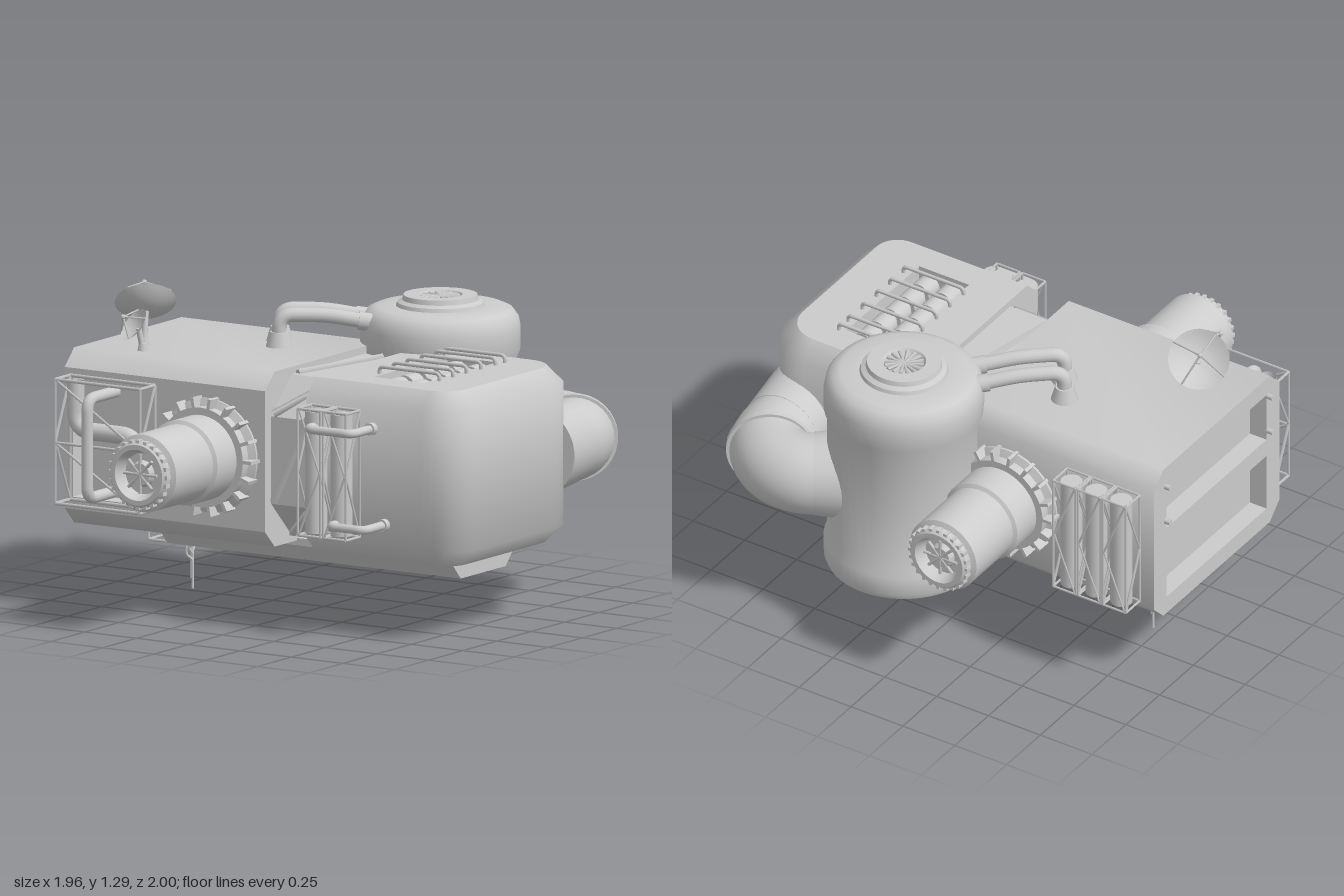
import * as THREE from 'three';
import { toCreasedNormals } from 'three/addons/utils/BufferGeometryUtils.js';

const V = (x, y, z) => new THREE.Vector3(x, y, z);
const mat = new THREE.MeshStandardMaterial({ color: 0xcccccc, side: THREE.DoubleSide });

function add(parent, name, geo, pos) {
  const m = new THREE.Mesh(geo, mat);
  m.name = name;
  if (pos) m.position.copy(pos);
  parent.add(m);
  return m;
}
function group(parent, name) {
  const g = new THREE.Group();
  g.name = name;
  parent.add(g);
  return g;
}
// cylinder or cone from a to b
function rod(parent, name, a, b, ra, rb = ra, sides = 8) {
  const m = add(parent, name, new THREE.CylinderGeometry(rb, ra, a.distanceTo(b), sides), a.clone().lerp(b, 0.5));
  m.quaternion.setFromUnitVectors(V(0, 1, 0), b.clone().sub(a).normalize());
  return m;
}
// pipe through points with rounded bends
function pipe(parent, name, pts, r, bend = 0.06, sides = 14) {
  const path = new THREE.CurvePath();
  let last = pts[0];
  for (let i = 1; i < pts.length - 1; i++) {
    const p = pts[i];
    const a = p.clone().add(pts[i - 1].clone().sub(p).setLength(bend));
    const b = p.clone().add(pts[i + 1].clone().sub(p).setLength(bend));
    path.add(new THREE.LineCurve3(last, a));
    path.add(new THREE.QuadraticBezierCurve3(a, p, b));
    last = b;
  }
  path.add(new THREE.LineCurve3(last, pts[pts.length - 1]));
  return add(parent, name, new THREE.TubeGeometry(path, 50, r, sides));
}
// skin between rings of points
function skin(rings, crease) {
  const pos = [];
  for (let k = 0; k < rings.length - 1; k++) for (let i = 0; i < rings[k].length - 1; i++) {
    const [a, b, c, d] = [rings[k][i], rings[k][i + 1], rings[k + 1][i + 1], rings[k + 1][i]];
    for (const p of [a, b, c, a, c, d]) pos.push(p.x, p.y, p.z);
  }
  const g = new THREE.BufferGeometry();
  g.setAttribute('position', new THREE.Float32BufferAttribute(pos, 3));
  return toCreasedNormals(g, crease);
}
// flat panel with rectangular holes [x0, x1, y0, y1]
function panel(pts, holes = []) {
  const s = new THREE.Shape(pts.map(p => new THREE.Vector2(p[0], p[1])));
  for (const [x0, x1, y0, y1] of holes)
    s.holes.push(new THREE.Path([[x0, y0], [x0, y1], [x1, y1], [x1, y0]].map(p => new THREE.Vector2(...p))));
  return new THREE.ShapeGeometry(s);
}
// box without one face (0..5 = +x -x +y -y +z -z)
function pocket(w, h, d, open) {
  const g = new THREE.BoxGeometry(w, h, d);
  g.setIndex(Array.from(g.index.array).filter((_, i) => Math.floor(i / 6) !== open));
  g.clearGroups();
  return g;
}
const lathe = (pts, seg = 48) =>
  toCreasedNormals(new THREE.LatheGeometry(pts.map(p => new THREE.Vector2(...p)), seg), 0.6);
// section of the hull in z, y
const octagon = (w, y0, y1, c) => [[w, y0 + c], [w - c, y0], [c - w, y0], [-w, y0 + c], [-w, y1 - c], [c - w, y1], [w - c, y1], [w, y1 - c]];

// wire cage with diagonals
function cage(parent, x0, x1, y0, y1, z0, z1, r) {
  const g = group(parent, 'cage');
  for (const z of [z0, z1]) {
    for (const y of [y0, y1]) rod(g, 'cageBar', V(x0, y, z), V(x1, y, z), r, r, 4);
    for (const x of [x0, x1]) rod(g, 'cageBar', V(x, y0, z), V(x, y1, z), r, r, 4);
  }
  for (const x of [x0, x1]) {
    for (const y of [y0, y1]) rod(g, 'cageBar', V(x, y, z0), V(x, y, z1), r, r, 4);
    rod(g, 'cageBrace', V(x, y0, z0), V(x, (y0 + y1) / 2, z1), r, r, 4);
    rod(g, 'cageBrace', V(x, (y0 + y1) / 2, z1), V(x, y1, z0), r, r, 4);
  }
  return g;
}
// caged pressure bottle standing against the hull
function radiator(parent, x, z) {
  const g = group(parent, 'radiatorUnit');
  cage(g, x - 0.055, x + 0.055, 0.41, 0.93, z - 0.052, z + 0.052, 0.006);
  rod(g, 'radiatorCore', V(x, 0.42, z), V(x, 0.92, z), 0.045, 0.045, 20);
  const f = z + 0.052 * Math.sign(z);
  rod(g, 'frontBrace', V(x - 0.05, 0.41, f), V(x + 0.05, 0.67, f), 0.005, 0.005, 4);
  rod(g, 'frontBrace', V(x + 0.05, 0.67, f), V(x - 0.05, 0.93, f), 0.005, 0.005, 4);
}
// dish with tripod feed on a mast
function dish(parent, c, n, r, foot) {
  const g = group(parent, 'antennaDish'), h = group(g, 'dishHead'), d = r * 0.38;
  const pts = [];
  for (let i = 0; i <= 10; i++) pts.push([r * i / 10, d * (i / 10) ** 2 - d / 2]);
  add(h, 'reflector', lathe(pts, 32));
  for (let i = 0; i < 4; i++) {
    const a = i * Math.PI / 2;
    rod(h, 'feedLeg', V(r * Math.cos(a), d / 2, r * Math.sin(a)), V(0, r * 0.95, 0), 0.004, 0.004, 5);
  }
  add(h, 'feed', new THREE.SphereGeometry(0.011, 8, 6), V(0, r * 0.95, 0));
  h.position.copy(c);
  h.quaternion.setFromUnitVectors(V(0, 1, 0), n.normalize());
  rod(g, 'dishMast', foot, c.clone().addScaledVector(n, -d / 2), 0.012);
  rod(g, 'mastBase', foot, foot.clone().setY(1.06), 0.022, 0.016, 12);
}

export function createModel() {
  const root = new THREE.Group();
  root.name = 'stationModule';

  // left hull, open windows on its end and front
  const oct = octagon(0.465, 0.31, 1.03, 0.07), left = group(root, 'leftHull');
  add(left, 'hullShell', skin([-0.95, 0.02].map(x => oct.map(p => V(x, p[1], p[0]))), 0.9));
  add(left, 'frontPanel', panel([[-0.95, 0.38], [0.02, 0.38], [0.02, 0.96], [-0.95, 0.96]], [[-0.91, -0.52, 0.43, 0.92]]), V(0, 0, 0.465));
  add(left, 'frontPocket', pocket(0.39, 0.49, 0.08, 4), V(-0.715, 0.675, 0.425));
  const wins = [[-0.37, 0.37, 0.73, 0.95], [-0.37, 0.37, 0.39, 0.65]];
  add(left, 'endPanel', panel(oct, wins).rotateY(-Math.PI / 2), V(-0.95, 0, 0));
  for (const [z0, z1, y0, y1] of wins) add(left, 'endPocket', pocket(0.08, y1 - y0, z1 - z0, 1), V(-0.91, (y0 + y1) / 2, 0));
  add(left, 'innerWall', panel(oct).rotateY(Math.PI / 2), V(0.02, 0, 0));
  for (const y of [0.94, 0.77]) for (const z of [-0.38, 0.38]) rod(left, 'bolt', V(-0.975, y, z), V(-0.94, y, z), 0.012);

  // recessed neck with braces
  const neck = octagon(0.42, 0.34, 1.0, 0.15);
  neck.push(neck[0]);
  add(root, 'neck', skin([0.02, 0.22].map(x => neck.map(p => V(x, p[1], p[0]))), 0.3));
  for (const [a, b] of [[V(0.03, 0.5, 0.42), V(0.21, 0.88, 0.42)], [V(0.03, 1, 0.24), V(0.13, 1, -0.25)],
    [V(0.03, 0.86, 0.42), V(0.21, 0.98, 0.28)], [V(0.03, 0.35, 0.28), V(0.21, 0.48, 0.42)]])
    rod(root, 'neckBrace', a, b, 0.018, 0.018, 4);

  // right hull with rounded outer corners
  const right = group(root, 'rightHull');
  const outline = d => {
    const pts = [[0.22, 0.465 - d]];
    for (const [r, s] of [[0.17, 1], [0.21, -1]]) for (let i = 0; i <= 10; i++) {
      const a = (s > 0 ? 1 - i / 10 : -i / 10) * Math.PI / 2;
      pts.push([0.95 - r + (r - d) * Math.cos(a), s * (0.465 - r) + (r - d) * Math.sin(a)]);
    }
    return [...pts, [0.22, d - 0.465]];
  };
  const levels = [[0.31, 0.07], [0.38, 0], [0.96, 0], [1.03, 0.07]];
  add(right, 'hullShell', skin(levels.map(([y, d]) => outline(d).map(p => V(p[0], y, p[1]))), 0.9));
  const cap = outline(0.07).map(p => [p[0], -p[1]]);
  add(right, 'roof', panel(cap, [[0.42, 0.66, -0.27, 0.27]]).rotateX(-Math.PI / 2), V(0, 1.03, 0));
  add(right, 'floor', panel(cap.map(p => [p[0], -p[1]])).rotateX(Math.PI / 2), V(0, 0.31, 0));
  add(right, 'innerWall', panel(oct).rotateY(-Math.PI / 2), V(0.22, 0, 0));
  add(right, 'roofPocket', pocket(0.24, 0.1, 0.54, 2), V(0.54, 0.98, 0));
  for (const x of [0.485, 0.595]) for (let i = 0; i < 5; i++) {
    const z = -0.208 + i * 0.104;
    rod(right, 'canister', V(x, 0.975, z - 0.04), V(x, 0.975, z + 0.04), 0.048, 0.048, 16);
    rod(right, 'canisterNeck', V(x, 0.975, z - 0.052), V(x, 0.975, z + 0.052), 0.03, 0.03, 12);
  }
  for (const z of [-0.28, -0.21, -0.105, 0, 0.1, 0.2])
    pipe(right, 'roofHoop', [V(0.4, 1.02, z), V(0.4, 1.06, z), V(0.69, 1.06, z), V(0.69, 1.02, z)], 0.008, 0.02, 6);

  // docking tubes on both faces
  for (const s of [1, -1]) {
    const g = group(root, 'dockingTube');
    add(g, 'tubeBody', lathe([[0.235, 0.45], [0.235, 0.475], [0.205, 0.49], [0.205, 0.53], [0.175, 0.53], [0.175, 0.67], [0.16, 0.68],
      [0.16, 0.95], [0.138, 0.96], [0.138, 0.985], [0.125, 1], [0.105, 1], [0.085, 0.95], [0.055, 0.95], [0.045, 0.975], [0, 0.975]]));
    for (let i = 0; i < 18; i++) {
      const f = group(g, 'flangeTooth');
      add(f, 'tooth', new THREE.BoxGeometry(0.05, 0.07, 0.014), V(0.22, 0.495, 0));
      f.rotation.y = i * Math.PI / 9;
    }
    for (let i = 0; i < 24; i++) {
      const a = i * Math.PI / 12;
      add(g, 'latch', new THREE.BoxGeometry(0.016, 0.03, 0.016), V(0.135 * Math.cos(a), 0.978, 0.135 * Math.sin(a)));
    }
    for (let i = 0; i < 4; i++) {
      const a = i * Math.PI / 4, c = 0.08 * Math.cos(a), d = 0.08 * Math.sin(a);
      rod(g, 'hatchSpoke', V(c, 0.972, d), V(-c, 0.972, -d), 0.007, 0.007, 5);
    }
    g.position.set(-0.25, 0.67, 0);
    g.rotation.x = s * Math.PI / 2;
  }

  // upright tank with fan cap
  const tank = group(root, 'tank');
  add(tank, 'tankBody', lathe([[0, 0.25], [0.29, 0.25], [0.315, 0.265], [0.325, 0.29], [0.325, 0.37], [0.312, 0.4], [0.312, 0.97], [0.325, 1.0],
    [0.325, 1.09], [0.317, 1.13], [0.295, 1.16], [0.26, 1.175], [0.18, 1.175], [0.175, 1.19], [0.155, 1.2], [0.15, 1.22], [0.09, 1.22], [0.08, 1.205], [0, 1.205]]));
  for (let i = 0; i < 16; i++) {
    const a = i * Math.PI / 8;
    rod(tank, 'fanBlade', V(0, 1.21, 0), V(0.08 * Math.cos(a), 1.21, 0.08 * Math.sin(a)), 0.004, 0.01, 5);
  }
  tank.position.set(0.2, 0, -0.55);

  // elbow duct from tank to right hull
  const duct = group(root, 'elbowDuct'), y = 0.665, arc = [];
  for (let i = 0; i <= 8; i++) {
    const a = (-122 + i * 16) * Math.PI / 180;
    arc.push(V(0.6 + 0.178 * Math.cos(a), y, -0.6 + 0.178 * Math.sin(a)));
  }
  const path = new THREE.CatmullRomCurve3([V(0.3, y, -0.62), ...arc, V(0.8, y, -0.33)]);
  add(duct, 'elbow', new THREE.TubeGeometry(path, 48, 0.166, 32));
  rod(duct, 'tankFlare', V(0.3, y, -0.62), V(0.505, y, -0.75), 0.2, 0.168, 32);
  rod(duct, 'hullFlare', V(0.8, y, -0.33), V(0.78, y, -0.57), 0.185, 0.168, 32);
  rod(duct, 'collar', V(0.742, y, -0.711), V(0.758, y, -0.685), 0.178, 0.178, 32);

  // roof pipes into the tank
  for (const [x, z, ex, ez] of [[-0.34, -0.19, -0.05, -0.42], [-0.27, -0.08, 0.03, -0.32]]) {
    pipe(root, 'roofPipe', [V(x, 1.03, z), V(x, 1.16, z), V((x + ex) / 2, 1.155, (z + ez) / 2), V(ex, 1.12, ez)], 0.03);
    rod(root, 'pipeFoot', V(x, 1.03, z), V(x, 1.09, z), 0.055, 0.038, 16);
    rod(root, 'pipeCollar', V(ex - 0.05, 1.13, ez + 0.04), V(ex + 0.03, 1.115, ez - 0.02), 0.037, 0.037, 16);
  }

  // caged radiators and their feed pipes
  for (const x of [0.307, 0.43]) radiator(root, x, 0.525);
  for (const x of [-0.835, -0.715, -0.595]) radiator(root, x, -0.53);
  pipe(root, 'feedPipe', [V(0.32, 0.86, 0.54), V(0.32, 0.86, 0.62), V(0.54, 0.86, 0.62), V(0.54, 0.86, 0.45)], 0.018, 0.04);
  pipe(root, 'feedPipe', [V(0.43, 0.47, 0.54), V(0.43, 0.47, 0.62), V(0.6, 0.47, 0.62), V(0.6, 0.47, 0.45)], 0.018, 0.04);
  for (const [x, py] of [[0.54, 0.86], [0.6, 0.47]]) rod(root, 'feedCollar', V(x, py, 0.46), V(x, py, 0.49), 0.026, 0.026, 12);

  // front service bay: frame and pipes
  const bay = group(root, 'serviceBay');
  cage(bay, -0.92, -0.51, 0.42, 0.93, 0.47, 0.58, 0.007);
  rod(bay, 'bayBrace', V(-0.92, 0.67, 0.58), V(-0.51, 0.42, 0.58), 0.006, 0.006, 4);
  rod(bay, 'bayBrace', V(-0.92, 0.93, 0.58), V(-0.51, 0.67, 0.58), 0.006, 0.006, 4);
  rod(bay, 'bayRail', V(-0.92, 0.67, 0.58), V(-0.51, 0.67, 0.58), 0.006, 0.006, 4);
  pipe(bay, 'bentPipe', [V(-0.86, 0.92, 0.52), V(-0.86, 0.72, 0.52), V(-0.56, 0.72, 0.52), V(-0.56, 0.43, 0.52)], 0.036, 0.08);
  pipe(bay, 'handlePipe', [V(-0.745, 0.87, 0.4), V(-0.745, 0.87, 0.61), V(-0.745, 0.46, 0.61), V(-0.745, 0.46, 0.4)], 0.024, 0.05);

  // keel under the hull
  const keel = new THREE.ExtrudeGeometry(new THREE.Shape([[-0.23, 0.32], [-0.23, 0.29], [-0.165, 0.22], [0.165, 0.22], [0.23, 0.29], [0.23, 0.32]]
    .map(p => new THREE.Vector2(...p))), { depth: 1.42, bevelEnabled: false }).rotateY(Math.PI / 2);
  add(root, 'keel', keel, V(-0.65, 0, 0));

  // aerials below the keel
  cage(root, -0.745, -0.66, 0.225, 0.31, -0.16, 0.16, 0.006);
  add(root, 'aerialBlock', new THREE.BoxGeometry(0.05, 0.03, 0.12), V(-0.68, 0.21, -0.06));
  rod(root, 'aerial', V(-0.735, 0.02, -0.14), V(-0.735, 0.3, -0.14), 0.005, 0.005, 6);
  pipe(root, 'aerial', [V(-0.68, 0.21, -0.02), V(-0.68, 0.14, -0.02), V(-0.66, 0.12, -0.035), V(-0.66, 0, -0.035)], 0.005, 0.01, 6);
  pipe(root, 'aerial', [V(-0.7, 0.21, -0.11), V(-0.7, 0.16, -0.11), V(-0.7, 0.14, -0.095), V(-0.7, 0.1, -0.095)], 0.005, 0.01, 6);
  for (const ay of [0.14, 0.17]) rod(root, 'aerialBar', V(-0.745, ay, -0.14), V(-0.66, ay, -0.04), 0.004, 0.004, 5);

  // roof dishes
  dish(root, V(-0.765, 1.18, 0.15), V(-0.42, 0.68, -0.55), 0.125, V(-0.74, 1.03, 0.2));
  dish(root, V(-0.7, 1.13, 0.32), V(-0.4, 0.55, 0.6), 0.075, V(-0.68, 1.03, 0.3));
  return root;
}
